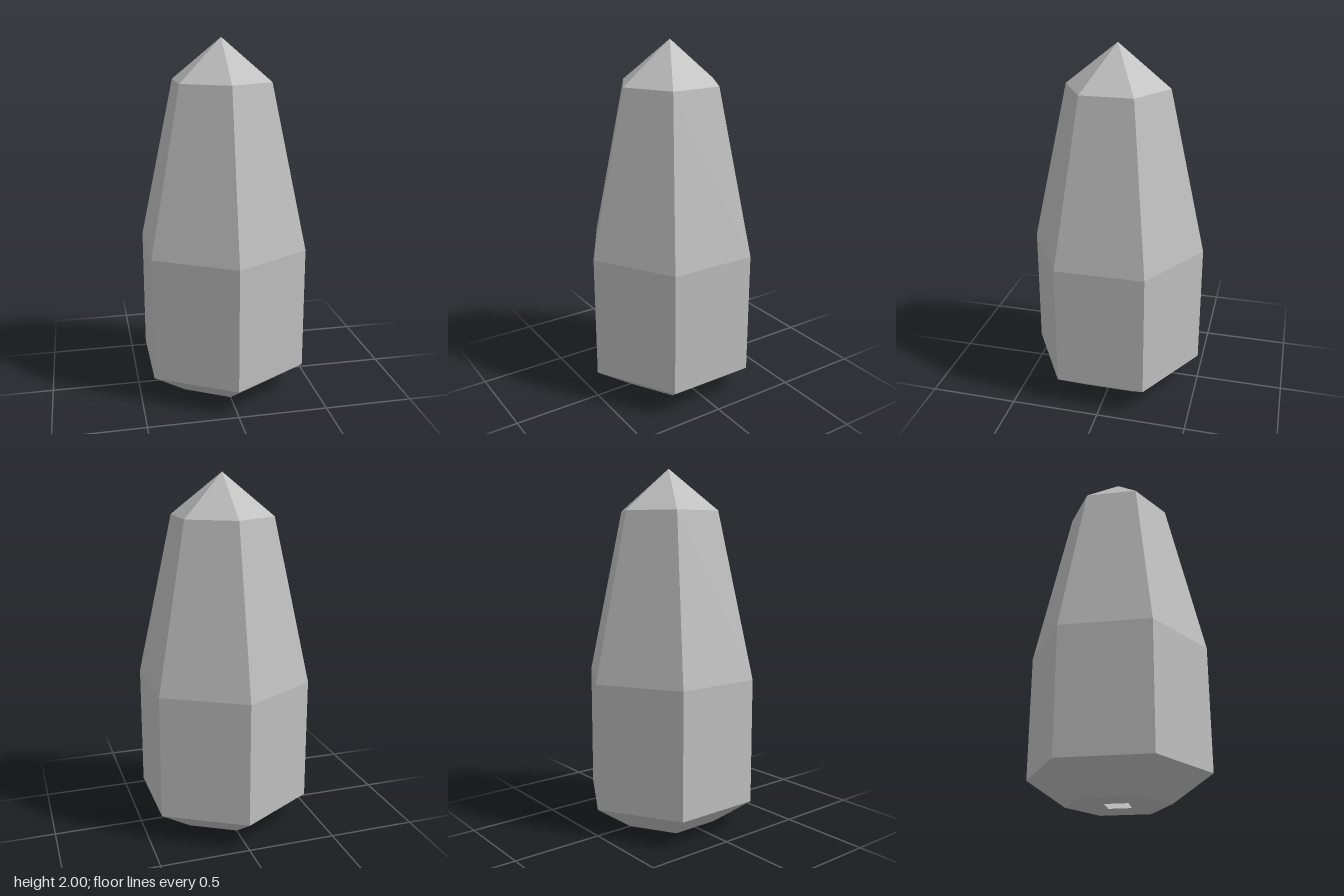
import * as THREE from 'three';

const SIDES = 6;
const BASE_RADIUS = 0.28;
const HOLE_HALF = 0.063;

export function createModel() {
  const group = new THREE.Group();
  group.name = 'crystal';

  const stone = new THREE.MeshStandardMaterial({ color: 0xc0c0c0 });
  stone.name = 'grey stone';
  stone.flatShading = true;
  stone.side = THREE.DoubleSide; // hollow shell, its inside shows through the base hole

  // Six-sided shell: bevelled foot, straight body, tapered shoulder, pointed tip
  const profile = [
    [BASE_RADIUS, 0], [0.497, 0.15], [0.497, 0.85], [0.289, 1.77], [0, 2],
  ].map(([r, y]) => new THREE.Vector2(r, y));
  const shell = new THREE.Mesh(new THREE.LatheGeometry(profile, SIDES), stone);
  shell.name = 'crystalShell';
  group.add(shell);

  // Hexagonal underside with a small square opening
  const hexagon = [];
  for (let i = 0; i < SIDES; i++) {
    const a = (i / SIDES) * Math.PI * 2;
    hexagon.push(new THREE.Vector2(Math.sin(a) * BASE_RADIUS, Math.cos(a) * BASE_RADIUS));
  }
  const baseShape = new THREE.Shape(hexagon);
  const h = HOLE_HALF;
  baseShape.holes.push(new THREE.Path(
    [[-h, -h], [h, -h], [h, h], [-h, h]].map(([x, y]) => new THREE.Vector2(x, y))
  ));
  const base = new THREE.Mesh(new THREE.ShapeGeometry(baseShape).rotateX(Math.PI / 2), stone);
  base.name = 'base';
  group.add(base);

  return group;
}
